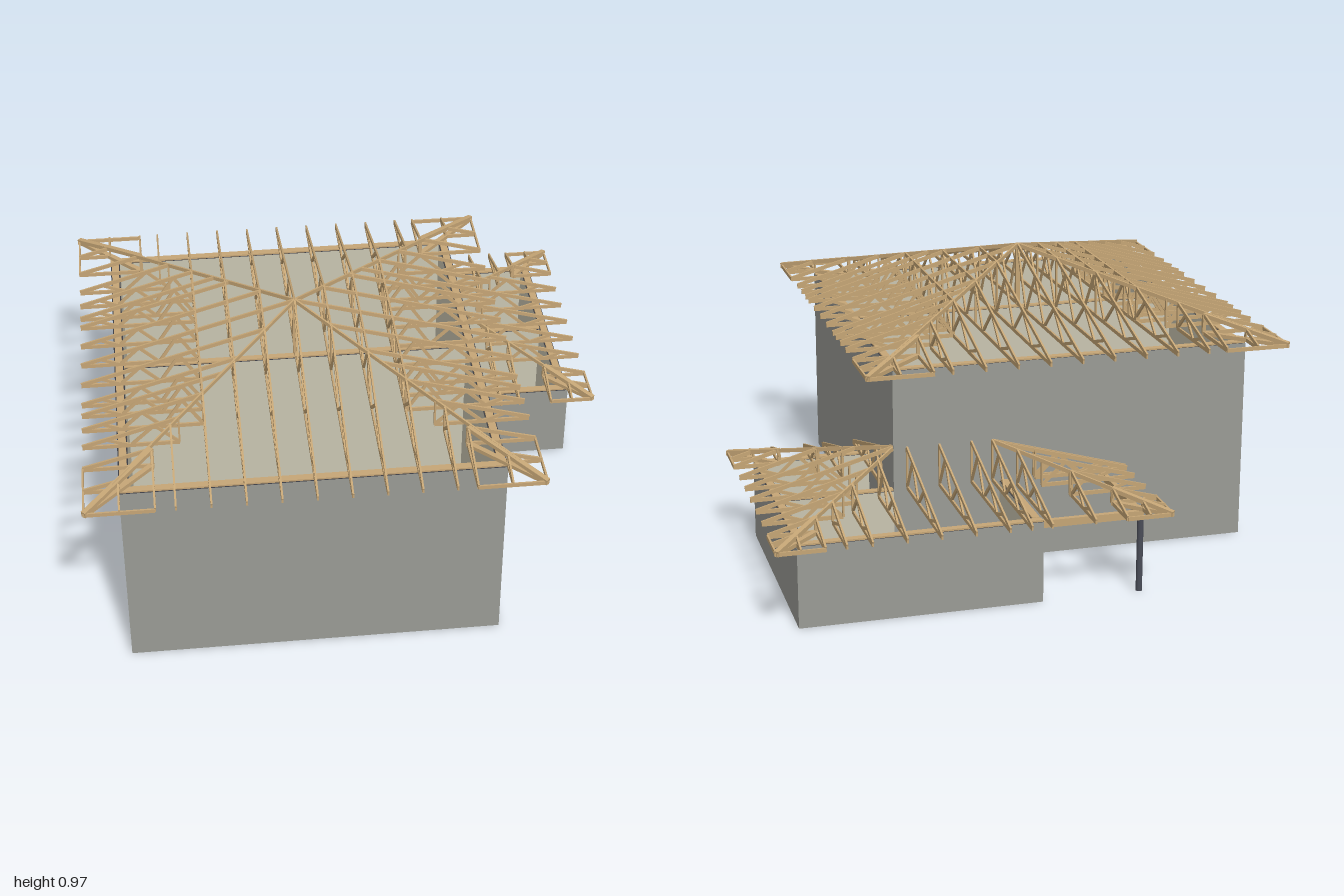
import * as THREE from 'three';
import { mergeGeometries } from 'three/addons/utils/BufferGeometryUtils.js';

const V = (x, y, z) => new THREE.Vector3(x, y, z);

export function createModel() {
  const mat = (name, color) => {
    const m = new THREE.MeshStandardMaterial({ color });
    m.name = name;
    return m;
  };
  const render = mat('exterior grey', 0x9a9b95);
  const plaster = mat('interior beige', 0xcac6b2);
  const core = mat('wall core dark', 0x3b3c44);
  const wood = mat('timber', 0xc6a676);
  const steel = mat('post steel', 0x4a4d58);

  const model = new THREE.Group();
  model.name = 'houseFrame';
  const add = (parent, name, geo, material) => {
    const m = new THREE.Mesh(geo, material);
    m.name = name;
    parent.add(m);
    return m;
  };
  const group = (name) => {
    const g = new THREE.Group();
    g.name = name;
    model.add(g);
    return g;
  };

  // A timber from a to b, w wide and d deep
  const W = 0.0065, D = 0.014;
  const bar = (a, b, w = W, d = D) => {
    const dir = b.clone().sub(a), len = dir.length();
    dir.normalize();
    const side = Math.abs(dir.y) > 0.999 ? V(1, 0, 0) : V(0, 1, 0).cross(dir).normalize();
    const up = dir.clone().cross(side);
    const m = new THREE.Matrix4().makeBasis(side, up, dir);
    m.setPosition(a.clone().add(b).multiplyScalar(0.5));
    return new THREE.BoxGeometry(w, d, len).applyMatrix4(m);
  };

  // Wall box; faces lists +x, -x, +z, -z materials; a timber plate lies on top
  const wall = (parent, name, x0, x1, z0, z1, h, [px, nx, pz, nz]) => {
    const geo = new THREE.BoxGeometry(x1 - x0, h, z1 - z0);
    geo.translate((x0 + x1) / 2, h / 2, (z0 + z1) / 2);
    add(parent, name, geo, [px, nx, core, core, pz, nz]);
    const along = x1 - x0 > z1 - z0, e = 0.004;
    const plate = new THREE.BoxGeometry(x1 - x0 - (along ? 0 : 2 * e), 0.006, z1 - z0 - (along ? 2 * e : 0));
    plate.translate((x0 + x1) / 2, h + 0.003, (z0 + z1) / 2);
    add(parent, name + 'Plate', plate, wood);
  };

  const T = 0.034, R = render, P = plaster;
  // Tall block: four walls and a cross wall
  const tall = group('tallBlockWalls');
  const H = 0.72, X0 = -0.835, X1 = 0.452, Z0 = -0.505, Z1 = 0.882;
  wall(tall, 'frontWall', X0, X1, Z1 - T, Z1, H, [R, R, R, P]);
  wall(tall, 'backWall', X0, X1, Z0, Z0 + T, H, [R, R, P, R]);
  wall(tall, 'rightWall', X0, X0 + T, Z0 + T, Z1 - T, H, [P, R, P, P]);
  wall(tall, 'leftWall', X1 - T, X1, Z0 + T, Z1 - T, H, [R, P, P, P]);
  wall(tall, 'crossWall', X0 + T, X1 - T, 0.17, 0.2, H, [P, P, P, P]);

  // Low wing wrapping the back left corner
  const low = group('lowWingWalls');
  const h = 0.286, L0 = 0.038, L1 = 0.87, B0 = -0.923, B1 = -0.068;
  wall(low, 'wingBackWall', L0, L1, B0, B0 + T, h, [R, R, P, R]);
  wall(low, 'wingRightWall', L0, L0 + T, B0 + T, Z0, h, [P, R, P, P]);
  wall(low, 'wingLeftWall', L1 - T, L1, B0 + T, B1 - T, h, [R, P, P, P]);
  wall(low, 'wingFrontWall', X1, L1, B1 - T, B1, h, [R, P, R, P]);
  wall(low, 'wingCrossWall', X1, L1 - T, Z0, Z0 + T, h, [P, P, P, P]);

  // Porch beams and post
  const porch = group('porch');
  add(porch, 'porchBackBeam', bar(V(-0.313, 0.278, -0.915), V(L0, 0.278, -0.915), 0.018, 0.026), wood);
  add(porch, 'porchSideBeam', bar(V(-0.305, 0.278, -0.906), V(-0.305, 0.278, Z0), 0.016, 0.026), wood);
  const post = new THREE.CylinderGeometry(0.011, 0.011, 0.266, 12);
  add(porch, 'porchPost', post.translate(-0.305, 0.133, -0.915), steel);

  // Truss: at(s, y) places a point, tops is the upper chord as [s, y], base is the lower chord height
  const truss = (parent, name, at, tops, base, panels) => {
    const yAt = (s) => {
      for (let i = 1; i < tops.length; i++) {
        const [a, ya] = tops[i - 1], [b, yb] = tops[i];
        if ((s - a) * (s - b) <= 1e-9) return ya + (yb - ya) * (s - a) / (b - a || 1);
      }
      return tops[tops.length - 1][1];
    };
    const s0 = tops[0][0], s1 = tops[tops.length - 1][0], parts = [bar(at(s0, base), at(s1, base))];
    for (let i = 1; i < tops.length; i++) parts.push(bar(at(...tops[i - 1]), at(...tops[i])));
    const node = (i) => {
      const s = s0 + (s1 - s0) * i / panels;
      return at(s, i % 2 ? yAt(s) : base);
    };
    for (let i = 1; i < panels; i++) {
      if (i < panels - 1 || yAt(s1) - base > 0.03) parts.push(bar(node(i), node(i + 1), W, 0.011));
    }
    for (const [s, y] of tops) if (y - base > 0.02) parts.push(bar(at(s, base), at(s, y), W, 0.011));
    add(parent, name, mergeGeometries(parts), wood);
  };
  const alongZ = (x) => (s, y) => V(x, y, s);
  const alongX = (z) => (s, y) => V(s, y, z);
  const panelsFor = (len) => Math.max(2, 2 * Math.round(len / 0.16));

  // Hip rafter with heavy corner piece, short jacks and eave edges
  const corner = (parent, cx, cz, dx, dz, ax, az, size, top, base) => {
    const hi = (x, z) => V(x, top(x, z), z), lo = (x, z) => V(x, base, z);
    const ix = cx + dx * size, iz = cz + dz * size;
    const parts = [
      bar(hi(cx, cz), hi(ax, az)),
      bar(hi(cx, cz), hi(ix, iz), 0.018, 0.015),
      bar(lo(cx, cz), lo(ix, iz), 0.018, 0.014),
      bar(lo(ix, iz), hi(ix, iz), 0.012, 0.012),
      bar(lo(cx, cz), lo(ix, cz)), bar(lo(cx, cz), lo(cx, iz)),
    ];
    for (const f of [0.5, 1]) {
      const x = cx + dx * size * f, z = cz + dz * size * f;
      parts.push(bar(hi(x, cz), hi(x, z)), bar(lo(x, cz), lo(x, z)),
        bar(hi(cx, z), hi(x, z)), bar(lo(cx, z), lo(x, z)), bar(lo(x, z), hi(x, z)));
    }
    add(parent, 'hipCorner', mergeGeometries(parts), wood);
  };

  // Main pyramid roof
  const roof = group('mainRoofFrame');
  const cx = -0.193, cz = 0.185, hx = 0.757, hz = 0.806, base = 0.734, eave = 0.739, peak = 0.96;
  const top = (x, z) => eave + (peak - eave) * (1 - Math.max(Math.abs(x - cx) / hx, Math.abs(z - cz) / hz));
  const gird = 0.345, step = 0.115;
  for (let i = -4; i <= 4; i++) {
    const x = cx + i * step, t = hz * Math.abs(x - cx) / hx, y = top(x, cz);
    if (Math.abs(i) <= 3) {
      const mid = i ? [[cz - t, y], [cz + t, y]] : [[cz, y]];
      truss(roof, 'mainTruss', alongZ(x), [[cz - hz, eave], ...mid, [cz + hz, eave]], base, 14);
    } else {
      for (const s of [-1, 1]) truss(roof, 'endJackTruss', alongZ(x), [[cz + s * hz, eave], [cz + s * t, y]], base, 4);
    }
  }
  for (const z of [-0.27, -0.18, -0.1, -0.045, 0.07, 0.185, 0.3, 0.415, 0.475, 0.555, 0.645]) {
    const t = hx * Math.abs(z - cz) / hz, e = Math.max(t, gird);
    for (const s of [-1, 1]) {
      truss(roof, 'sideJackTruss', alongX(z), [[cx + s * hx, eave], [cx + s * e, top(cx + e, z)]], base, panelsFor(hx - e));
      if (t < gird) add(roof, 'sideRafter', bar(V(cx + s * gird, top(cx + gird, z), z), V(cx + s * t, top(cx + t, z), z)), wood);
    }
  }
  for (const sx of [-1, 1]) for (const sz of [-1, 1])
    corner(roof, cx + sx * hx, cz + sz * hz, -sx, -sz, cx, cz, 0.23, top, base);
  add(roof, 'kingPost', bar(V(cx, base, cz), V(cx, peak, cz), 0.016, 0.016), wood);

  // Low wing roof
  const wing = group('wingRoofFrame');
  const wl = -0.39, wr = 0.95, wb = -1, wf = 0.01, wBase = 0.298, wEave = 0.302;
  const wTop = (x, z) => wEave + 0.283 * Math.max(0, Math.min(wr - x, x - wl, z - wb, wf - z));
  const zTruss = (x, a, b) => truss(wing, 'wingTruss', alongZ(x), [[a, wEave], [b, wTop(x, b)]], wBase, panelsFor(Math.abs(b - a)));
  for (const x of [-0.12, 0.03, 0.1, 0.175, 0.29, 0.405, 0.52, 0.635, 0.72])
    zTruss(x, wb, Math.min(Z0 - 0.004, wb + Math.min(x - wl, wr - x)));
  for (const x of [0.485, 0.6, 0.67]) zTruss(x, wf, wf - (wr - x));
  const xTruss = (z, a, hip, stop) => {
    truss(wing, 'wingJackTruss', alongX(z), [[a, wEave], [stop, wTop(stop, z)]], wBase, panelsFor(Math.abs(stop - a)));
    if (Math.abs(hip - stop) > 0.01) add(wing, 'wingRafter', bar(V(stop, wTop(stop, z), z), V(hip, wTop(hip, z), z)), wood);
  };
  for (const z of [-0.725, -0.61, -0.495, -0.38, -0.265]) {
    const hip = wr - Math.min(z - wb, wf - z);
    xTruss(z, wr, hip, Math.max(hip, 0.605));
  }
  for (const z of [-0.725, -0.61, -0.53, -0.512]) {
    const hip = wl + z - wb;
    xTruss(z, wl, hip, Math.min(hip, -0.05));
  }
  corner(wing, wr, wb, -1, 1, 0.455, -0.505, 0.16, wTop, wBase);
  corner(wing, wr, wf, -1, -1, 0.455, -0.485, 0.16, wTop, wBase);
  corner(wing, wl, wb, 1, 1, 0.1, -0.51, 0.16, wTop, wBase);

  return model;
}
